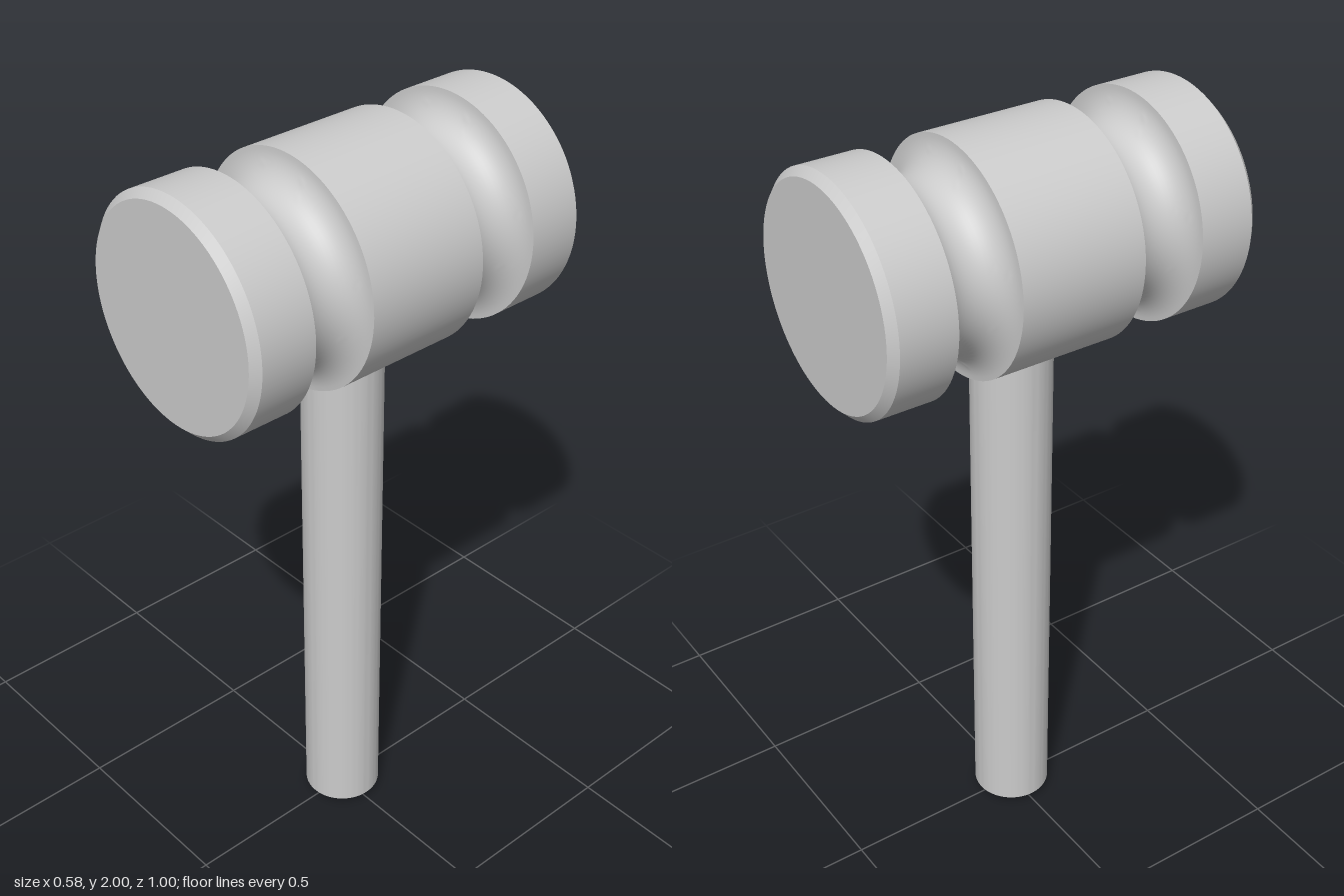
import * as THREE from 'three';
import { toCreasedNormals } from 'three/addons/utils/BufferGeometryUtils.js';

const HEAD_R = 0.29, HEAD_LENGTH = 1, HEAD_Y = 1.71;
const GROOVE_R = 0.083, GROOVE_OFFSET = 0.25;
const HANDLE_R = 0.103, CHAMFER = 0.02;

// Smooth turned part that keeps its chamfers and groove rims sharp
function turned(name, profile, material) {
  const points = profile.map(([r, y]) => new THREE.Vector2(r, y));
  const geometry = toCreasedNormals(new THREE.LatheGeometry(points, 96), Math.PI / 6);
  const mesh = new THREE.Mesh(geometry, material);
  mesh.name = name;
  return mesh;
}

// Half-round groove cut into the head, as profile points
function groove(center, steps = 24) {
  return Array.from({ length: steps + 1 }, (_, i) => {
    const t = (i / steps - 0.5) * Math.PI;
    return [HEAD_R - GROOVE_R * Math.cos(t), center + GROOVE_R * Math.sin(t)];
  });
}

export function createModel() {
  const model = new THREE.Group();
  model.name = 'mallet';
  const material = new THREE.MeshStandardMaterial({ color: 0xcccccc });

  // Head: chamfered cylinder along z with two grooves
  const half = HEAD_LENGTH / 2;
  const head = turned('head', [
    [0, -half],
    [HEAD_R - CHAMFER, -half],
    [HEAD_R, -half + CHAMFER],
    ...groove(-GROOVE_OFFSET),
    ...groove(GROOVE_OFFSET),
    [HEAD_R, half - CHAMFER],
    [HEAD_R - CHAMFER, half],
    [0, half],
  ], material);
  head.rotation.x = Math.PI / 2;
  head.position.y = HEAD_Y;
  model.add(head);

  // Handle: round rod with a chamfered foot, running up into the head
  model.add(turned('handle', [
    [0, 0],
    [HANDLE_R - CHAMFER, 0],
    [HANDLE_R, CHAMFER],
    [HANDLE_R, 1.5],
    [0, 1.5],
  ], material));

  return model;
}
